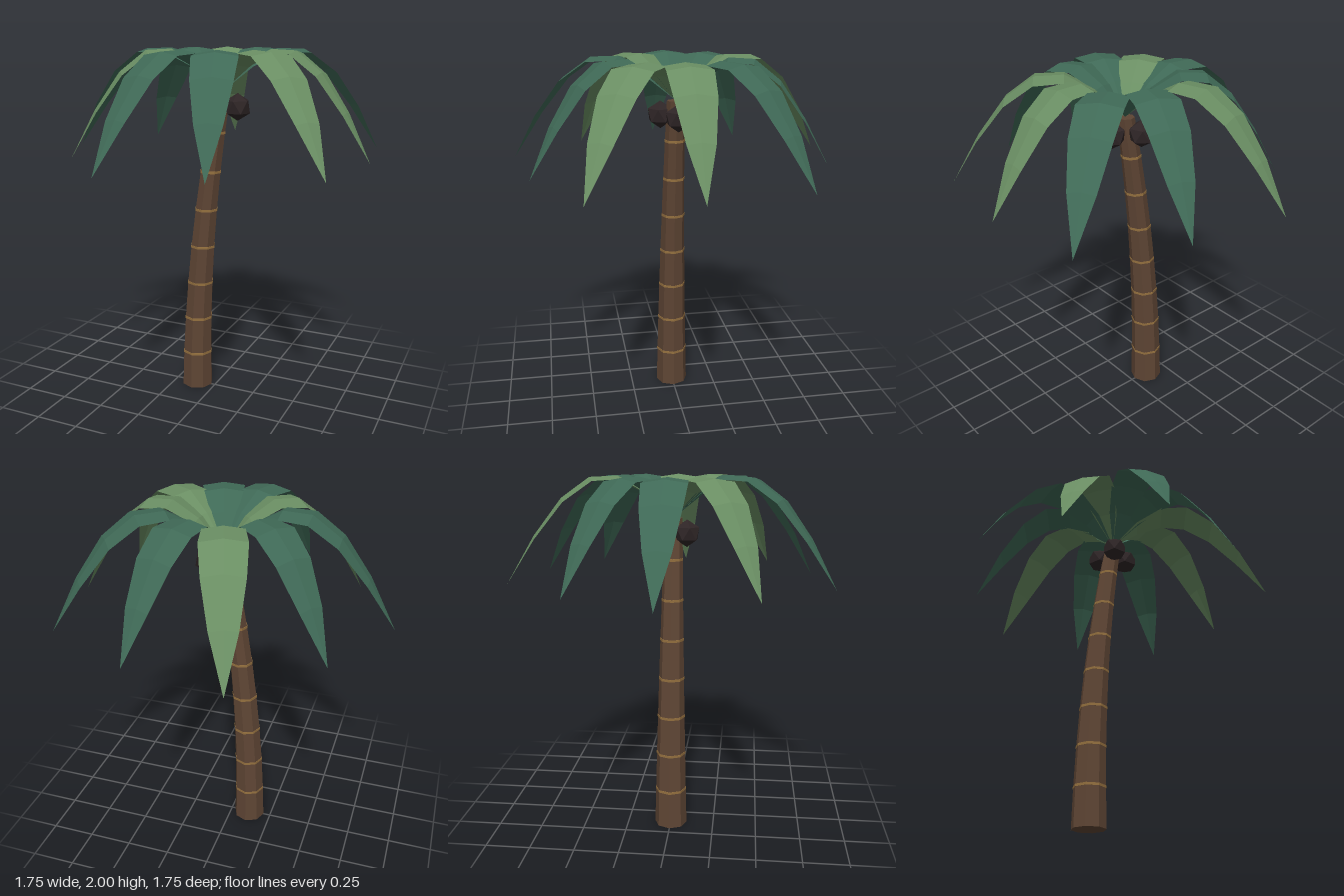
import * as THREE from 'three';

const TRUNK_HEIGHT = 1.77, CROWN_X = 0.045, SECTIONS = 8;

const material = (name, color, extra = {}) => {
  const m = new THREE.MeshStandardMaterial({ color, flatShading: true, ...extra });
  m.name = name;
  return m;
};

// The trunk leans towards +x along a parabola and tapers upwards
const trunkX = (y) => -0.115 + 0.16 * (y / TRUNK_HEIGHT) ** 2;
const trunkRadius = (y) => 0.093 - 0.044 * (y / TRUNK_HEIGHT);

function trunkGeometry() {
  const g = new THREE.CylinderGeometry(trunkRadius(TRUNK_HEIGHT), trunkRadius(0), TRUNK_HEIGHT, 8, SECTIONS);
  g.translate(0, TRUNK_HEIGHT / 2, 0);
  const p = g.attributes.position;
  for (let i = 0; i < p.count; i++) p.setX(i, p.getX(i) + trunkX(p.getY(i)));
  return g;
}

// Arching leaf along +x: left edge, raised midrib and right edge at each step
function frondGeometry(length, steps = 6) {
  const points = [], index = [];
  for (let i = 0; i <= steps; i++) {
    const t = i / steps;
    const arch = Math.max(0, Math.sin(Math.PI * t));
    const y = 0.307 * arch - 0.34 * t * t;
    const w = i === steps ? 0 : 0.117 * arch ** 0.75;
    const x = length * t;
    points.push(x, y - 0.15 * w, -w, x, y, 0, x, y - 0.15 * w, w);
    if (i === steps) break;
    for (const a of [3 * i, 3 * i + 1]) {
      if (i > 0) index.push(a, a + 1, a + 3);
      if (i === 0) index.push(a, a + 4, a + 3);
      else if (i < steps - 1) index.push(a + 1, a + 4, a + 3);
    }
  }
  const g = new THREE.BufferGeometry();
  g.setAttribute('position', new THREE.Float32BufferAttribute(points, 3));
  g.setIndex(index);
  g.computeVertexNormals();
  return g;
}

export function createModel() {
  const bark = material('bark brown', 0x5e4534);
  const ringTan = material('ring tan', 0x94703f);
  const shell = material('coconut brown', 0x2e2526);
  const darkLeaf = material('dark leaf green', 0x3f6956, { side: THREE.DoubleSide });
  const lightLeaf = material('light leaf green', 0x6a8e63, { side: THREE.DoubleSide });

  const tree = new THREE.Group();
  tree.name = 'palmTree';
  const add = (name, geometry, mat, x = 0, y = 0, z = 0) => {
    const mesh = new THREE.Mesh(geometry, mat);
    mesh.name = name;
    mesh.position.set(x, y, z);
    tree.add(mesh);
    return mesh;
  };

  add('trunk', trunkGeometry(), bark);

  // Thin rings at the joints of the trunk
  for (let i = 1; i < SECTIONS; i++) {
    const y = (TRUNK_HEIGHT * i) / SECTIONS - 0.003;
    const r = trunkRadius(y) + 0.002;
    add('trunkRing', new THREE.CylinderGeometry(r, r, 0.014, 8), ringTan, trunkX(y), y, 0);
  }

  // Three coconuts under the crown, each with a corner pointing up
  const nut = new THREE.IcosahedronGeometry(0.075, 0);
  nut.rotateX(-Math.atan((1 + Math.sqrt(5)) / 2));
  for (let i = 0; i < 3; i++) {
    const a = (i * Math.PI * 2) / 3;
    add('coconut', nut, shell, CROWN_X + 0.09 * Math.cos(a), 1.69, 0.09 * Math.sin(a));
  }

  // Ten fronds, alternately short and long
  const fronds = [frondGeometry(0.825), frondGeometry(0.92)];
  const lightOnes = [0, 1, 4, 7];
  for (let i = 0; i < 10; i++) {
    const leaf = lightOnes.includes(i) ? lightLeaf : darkLeaf;
    add('frond', fronds[i % 2], leaf, CROWN_X, TRUNK_HEIGHT, 0).rotation.y = (-i * Math.PI) / 5;
  }
  return tree;
}
